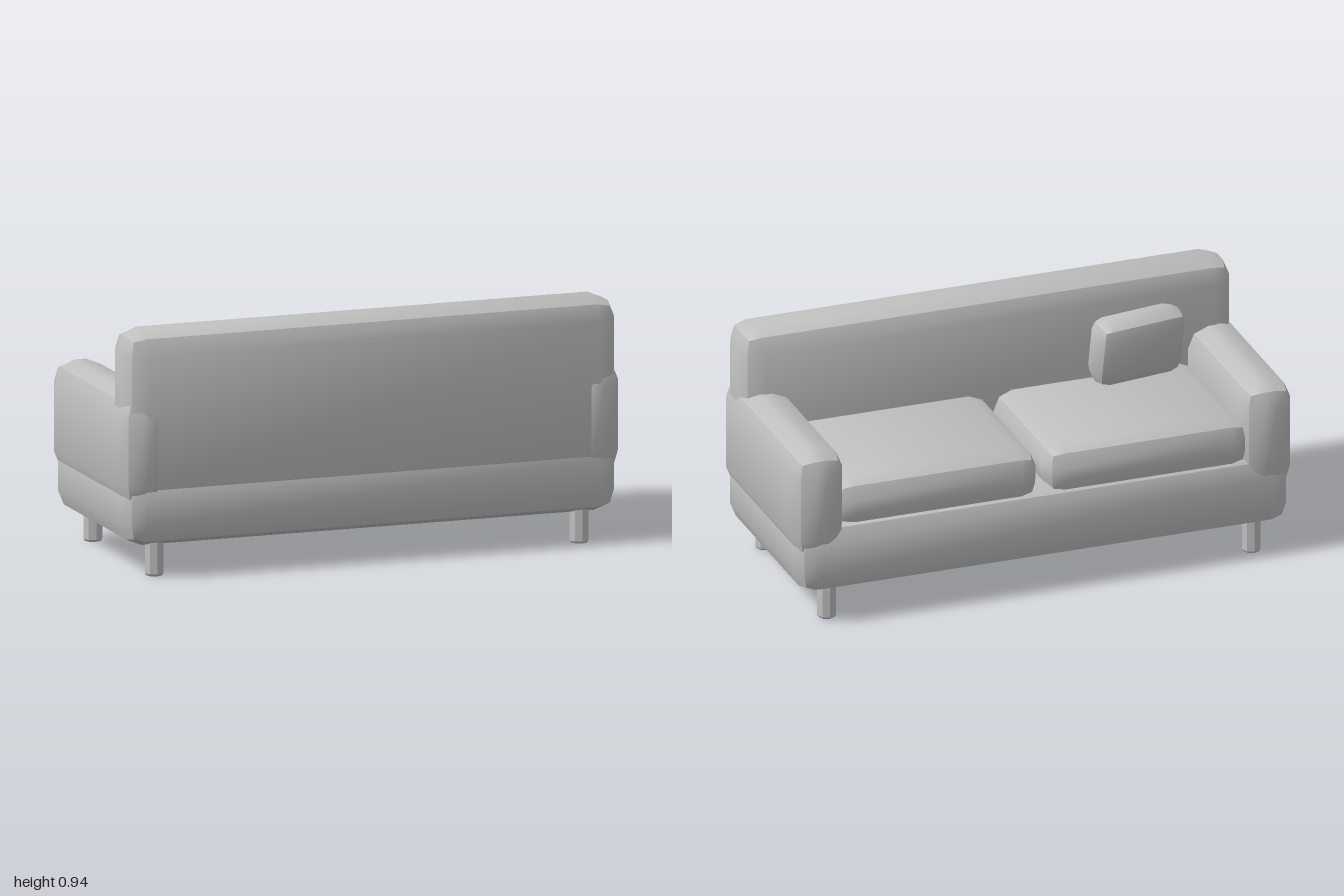
import * as THREE from 'three';
import { RoundedBoxGeometry } from 'three/addons/geometries/RoundedBoxGeometry.js';
import { mergeVertices, toCreasedNormals } from 'three/addons/utils/BufferGeometryUtils.js';

const fabric = new THREE.MeshStandardMaterial({ color: 0xc0c0c0 });
fabric.name = 'greyFabric';

// Box with two-step bevels: softly shaded sides and a crisp line along each bevel
function softBox(name, [x0, x1], [y0, y1], [z0, z1], radius) {
  let geo = new RoundedBoxGeometry(x1 - x0, y1 - y0, z1 - z0, 1, radius);
  geo.deleteAttribute('normal');
  geo.deleteAttribute('uv');
  geo = toCreasedNormals(mergeVertices(geo, 1e-4), 0.6);
  const mesh = new THREE.Mesh(geo, fabric);
  mesh.name = name;
  mesh.position.set((x0 + x1) / 2, (y0 + y1) / 2, (z0 + z1) / 2);
  return mesh;
}

// Eight-sided leg with a small bevel at the foot
function leg(name, x, z) {
  const profile = [[0, 0], [0.031, 0], [0.0375, 0.008], [0.0375, 0.16]]
    .map(([r, y]) => new THREE.Vector2(r, y));
  const geo = toCreasedNormals(new THREE.LatheGeometry(profile, 8), 0.3);
  const mesh = new THREE.Mesh(geo, fabric);
  mesh.name = name;
  mesh.position.set(x, 0, z);
  return mesh;
}

export function createModel() {
  const sofa = new THREE.Group();
  sofa.name = 'sofa';

  // Base and backrest; the seat opens towards -z
  sofa.add(softBox('base', [-0.985, 0.985], [0.12, 0.41], [-0.42, 0.42], 0.082));
  sofa.add(softBox('backrest', [-0.985, 0.985], [0.27, 0.943], [0.19, 0.42], 0.085));

  for (const [side, s] of [['left', 1], ['right', -1]]) {
    const span = (a, b) => (s > 0 ? [a, b] : [-b, -a]);

    // Armrest and seat cushion
    sofa.add(softBox(side + 'Armrest', span(0.79, 1), [0.27, 0.695], [-0.423, 0.423], 0.082));
    sofa.add(softBox(side + 'SeatCushion', span(0.012, 0.83), [0.36, 0.56], [-0.4, 0.26], 0.075));

    // Legs
    sofa.add(leg(side + 'FrontLeg', s * 0.848, -0.33));
    sofa.add(leg(side + 'BackLeg', s * 0.848, 0.33));
  }

  // Loose pillow, turned and tipped slightly
  const pillow = softBox('pillow', [-0.75, -0.38], [0.555, 0.825], [0.07, 0.21], 0.055);
  pillow.rotation.set(-0.17, 0.15, 0, 'YXZ');
  sofa.add(pillow);

  return sofa;
}
